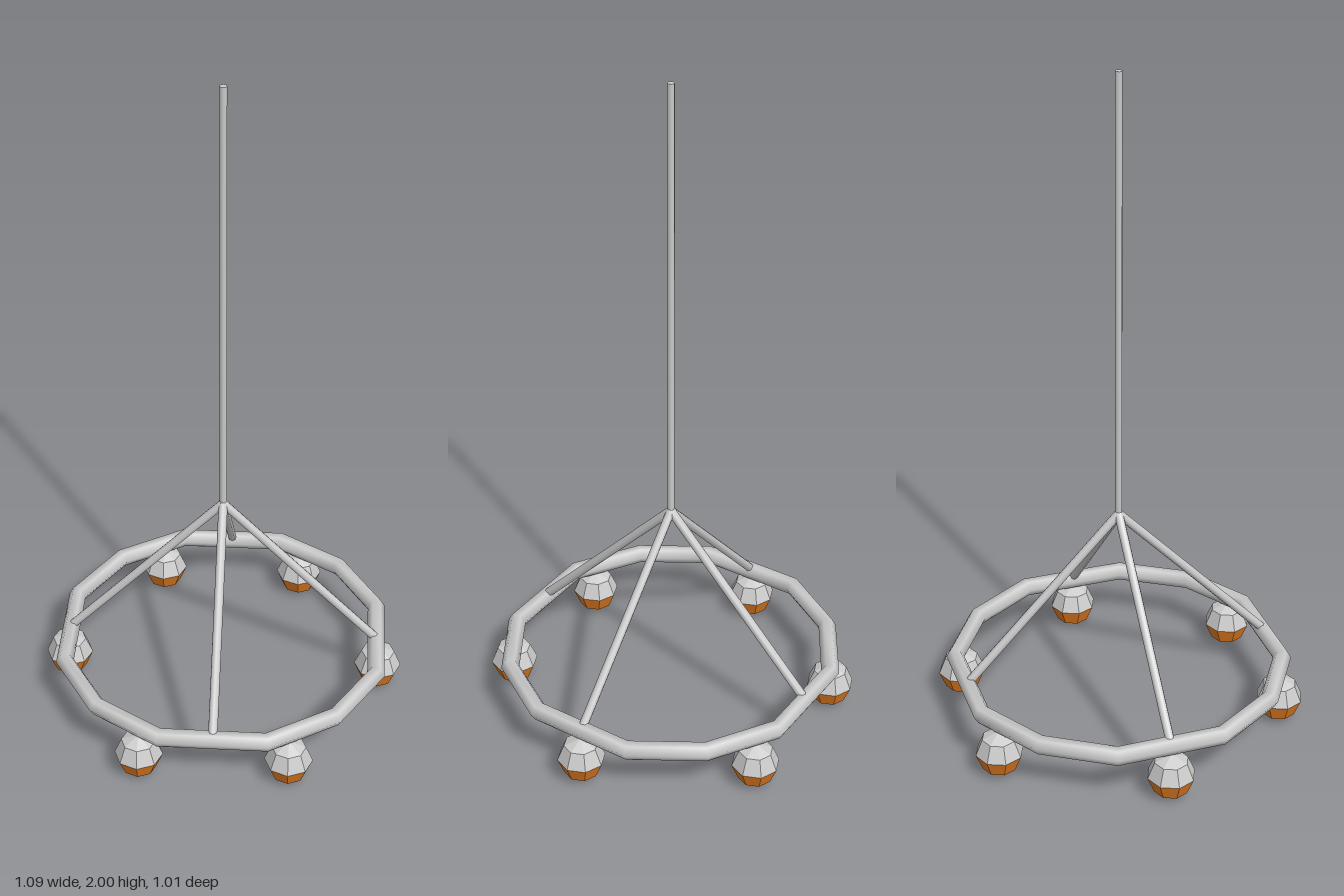
import * as THREE from 'three';

const grey = new THREE.MeshStandardMaterial({ color: 0xcccccc });
const shade = new THREE.MeshStandardMaterial({ color: 0xcccccc, flatShading: true, side: THREE.DoubleSide });
const glow = new THREE.MeshStandardMaterial({ color: 0xe67e22, flatShading: true, side: THREE.DoubleSide });

const RING_Y = 0.165, APEX_Y = 0.665, BULB_R = 0.071;

// Straight round bar between two points
function bar(name, from, to, radius) {
  const dir = to.clone().sub(from);
  const mesh = new THREE.Mesh(new THREE.CylinderGeometry(radius, radius, dir.length(), 8), grey);
  mesh.name = name;
  mesh.position.copy(from).add(to).multiplyScalar(0.5);
  mesh.quaternion.setFromUnitVectors(new THREE.Vector3(0, 1, 0), dir.normalize());
  return mesh;
}

// Twelve-sided hoop with slightly shorter diagonal sides
function hoop() {
  const geo = new THREE.TorusGeometry(0.494, 0.0275, 6, 12);
  geo.rotateX(Math.PI / 2).rotateY(Math.PI / 12);
  const pos = geo.attributes.position;
  for (let i = 0; i < pos.count; i++) {
    const x = pos.getX(i), z = pos.getZ(i);
    const r = Math.hypot(x, z), a = Math.atan2(z, x);
    // Push the corners beside each axis away from it, keep the diagonal ones
    const b = a + 0.061 * Math.sin(4 * a) / Math.sin(Math.PI / 3);
    pos.setX(i, r * Math.cos(b));
    pos.setZ(i, r * Math.sin(b));
  }
  const mesh = new THREE.Mesh(geo, grey);
  mesh.name = 'hoop';
  mesh.position.y = RING_Y;
  return mesh;
}

// Faceted bulb: grey upper half, coloured lower half
function bulb(x, z) {
  const group = new THREE.Group();
  group.name = 'bulb';
  [['bulbCap', 0, shade], ['bulbGlow', Math.PI / 2, glow]].forEach(([name, start, mat]) => {
    const geo = new THREE.SphereGeometry(BULB_R, 8, 2, 0, Math.PI * 2, start, Math.PI / 2);
    const mesh = new THREE.Mesh(geo, mat);
    mesh.name = name;
    group.add(mesh);
  });
  group.position.set(x, BULB_R, z);
  return group;
}

export function createModel() {
  const model = new THREE.Group();
  model.name = 'hangingLamp';
  const apex = new THREE.Vector3(0, APEX_Y, 0);

  // Hanging pole
  model.add(bar('pole', apex, new THREE.Vector3(0, 2, 0), 0.0105));

  // Four sloping stays from the pole to the hoop
  for (const [x, z] of [[1, 0], [-1, 0], [0, 1], [0, -1]]) {
    model.add(bar('stay', apex, new THREE.Vector3(x * 0.476, RING_Y, z * 0.476), 0.0135));
  }

  model.add(hoop());

  // Six bulbs under the hoop
  for (const side of [1, -1]) {
    model.add(bulb(side * 0.476, 0));
    for (const end of [1, -1]) model.add(bulb(side * 0.219, end * 0.436));
  }
  return model;
}
